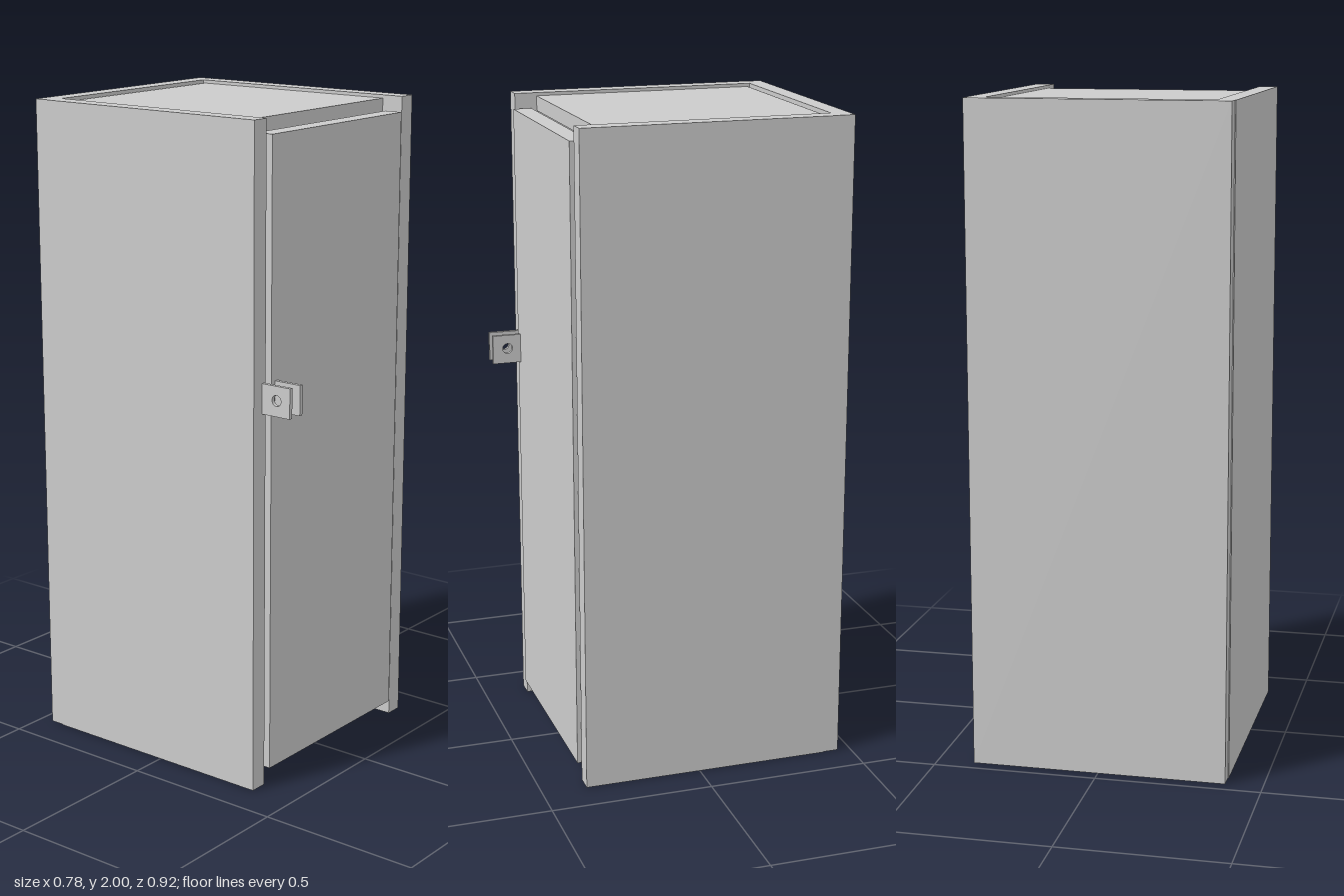
import * as THREE from 'three';

const material = new THREE.MeshStandardMaterial({ color: 0xcccccc });

export function createModel() {
  const model = new THREE.Group();
  model.name = 'locker';

  const add = (name, geometry) => {
    const mesh = new THREE.Mesh(geometry, material);
    mesh.name = name;
    model.add(mesh);
    return mesh;
  };
  // Box given by its minimum and maximum corners
  const panel = (name, x0, x1, y0, y1, z0, z1) =>
    add(name, new THREE.BoxGeometry(x1 - x0, y1 - y0, z1 - z0))
      .position.set((x0 + x1) / 2, (y0 + y1) / 2, (z0 + z1) / 2);

  // Cabinet shell
  panel('leftSide', 0.335, 0.39, 0, 2, -0.412, 0.362);
  panel('rightSide', -0.39, -0.335, 0, 2, -0.412, 0.362);
  panel('back', -0.387, 0.387, 0, 2, -0.46, -0.405);
  panel('topPanel', -0.335, 0.335, 1.945, 1.99, -0.398, 0.293);
  panel('bottomPanel', -0.335, 0.335, 0.03, 0.125, -0.398, 0.293);

  // Door, set between the sides
  panel('door', -0.32, 0.32, 0.05, 1.955, 0.314, 0.371);

  // Hinge barrels on the door's left edge
  for (const [name, y] of [['upperHinge', 1.577], ['lowerHinge', 0.838]]) {
    add(name, new THREE.CylinderGeometry(0.018, 0.018, 0.135, 24)).position.set(0.313, y, 0.337);
  }

  // Two padlock lugs with a round hole, one on the frame and one on the door
  const thickness = 0.012;
  for (const [name, x, z0] of [['frameLug', -0.345, 0.36], ['doorLug', -0.297, 0.369]]) {
    const plate = new THREE.Shape([
      new THREE.Vector2(-0.46, 1.16), new THREE.Vector2(-z0, 1.16),
      new THREE.Vector2(-z0, 1.25), new THREE.Vector2(-0.46, 1.25),
    ]);
    plate.holes.push(new THREE.Path().absarc(-0.413, 1.207, 0.016, 0, Math.PI * 2, true));
    const geometry = new THREE.ExtrudeGeometry(plate, { depth: thickness, bevelEnabled: false, curveSegments: 24 });
    geometry.rotateY(Math.PI / 2); // shape x becomes -z, depth becomes x
    add(name, geometry).position.x = x - thickness / 2;
  }

  return model;
}
